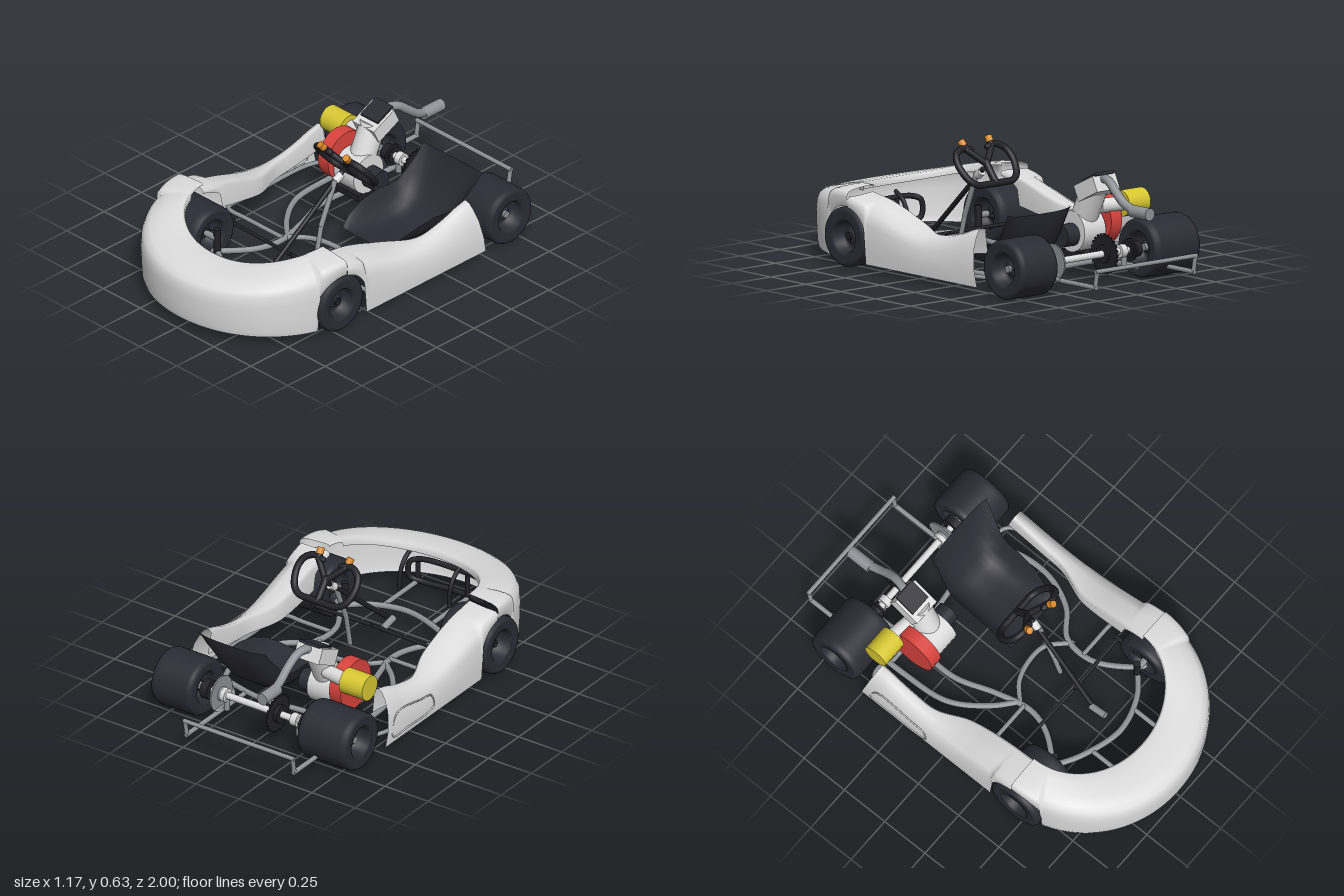
import * as THREE from 'three';

const mat = (name, color, side = THREE.FrontSide) => {
  const m = new THREE.MeshStandardMaterial({ color, side });
  m.name = name;
  return m;
};
const V = (x, y, z) => new THREE.Vector3(x, y, z);

// Smooth function through [key, value] pairs (keys ascending)
const smoothCurve = pairs => {
  const c = new THREE.CubicInterpolant(pairs.map(p => p[0]), pairs.map(p => p[1]), 1);
  return k => c.evaluate(k)[0];
};

// Surface through rows of equal length
function loft(rows) {
  const n = rows[0].length, idx = [];
  for (let i = 0; i < rows.length - 1; i++)
    for (let j = 0; j < n - 1; j++) {
      const a = i * n + j, b = a + n;
      idx.push(a, b, a + 1, b, b + 1, a + 1);
    }
  const g = new THREE.BufferGeometry().setFromPoints(rows.flat());
  g.setIndex(idx);
  g.computeVertexNormals();
  return g;
}

export function createModel() {
  const root = new THREE.Group();
  root.name = 'goKart';
  const white = mat('whiteBodywork', 0xdcdcdc, THREE.DoubleSide);
  const grey = mat('greyMetal', 0x8e9196);
  const dark = mat('darkRubber', 0x2b2b35, THREE.DoubleSide);
  const black = mat('blackParts', 0x202026);
  const red = mat('redCover', 0xd9433d);
  const yellow = mat('yellowFilter', 0xd8c832);
  const orange = mat('orangeGrips', 0xdc8a28);

  const add = (name, geo, m, pos = [0, 0, 0], parent = root) => {
    const mesh = new THREE.Mesh(geo, m);
    mesh.name = name;
    mesh.position.set(...pos);
    parent.add(mesh);
    return mesh;
  };
  const tube = (name, pts, r, m = grey, closed = false) => {
    const c = new THREE.CatmullRomCurve3(pts.map(p => V(...p)), closed, 'centripetal');
    const mesh = add(name, new THREE.TubeGeometry(c, pts.length * 8, r, 10, closed), m);
    if (!closed) for (const end of [pts[0], pts[pts.length - 1]])
      add(name + 'End', new THREE.SphereGeometry(r, 10, 6), m, end);
    return mesh;
  };
  // Straight rod between two points
  const rod = (name, a, b, r, m = grey) => {
    const p = V(...a), q = V(...b);
    const mesh = add(name, new THREE.CylinderGeometry(r, r, p.distanceTo(q), 24), m, p.clone().add(q).multiplyScalar(0.5).toArray());
    mesh.quaternion.setFromUnitVectors(V(0, 1, 0), q.sub(p).normalize());
    return mesh;
  };

  // Clearance of the bodywork over the front wheels
  const arch = z => {
    const d = 0.155 ** 2 - (z - 0.455) ** 2;
    return d > 0 ? 0.145 + Math.sqrt(d) : 0.04;
  };

  // Front fairing: open shell swept around the nose
  const section = [[0.06, 0], [0.03, 0.08], [0.01, 0.3], [0, 0.55], [0.02, 0.72], [0.08, 0.82],
    [0.2, 0.89], [0.45, 0.945], [0.75, 0.985], [0.95, 1], [1, 0.98], [1, 0.88]];
  const noseRows = [];
  for (let i = 0; i <= 140; i++) {
    const a = (i / 70 - 1) * Math.PI / 2, s = Math.sin(a), c = Math.max(Math.cos(a), 0);
    const so = Math.sign(s) * Math.abs(s) ** 0.97, co = c ** 0.97;
    const zo = 0.43 + 0.56 * co;
    const bottom = zo > 0.597 ? 0.042 + 0.014 * c : Math.min(arch(zo), 0.31);
    const top = 0.325 + 0.065 * Math.abs(s) ** 2.4;
    noseRows.push(section.map(([f, t]) => V(
      THREE.MathUtils.lerp(0.578 * so, 0.405 * s, f),
      bottom + t * (top - bottom),
      0.43 + THREE.MathUtils.lerp(0.568 * co, 0.33 * c, f))));
  }
  add('frontFairing', loft(noseRows), white);

  // Side pods
  const podTop = smoothCurve([[-0.45, 0.312], [-0.38, 0.295], [-0.3, 0.267], [-0.2, 0.242], [-0.1, 0.234],
    [0, 0.247], [0.1, 0.274], [0.2, 0.307], [0.3, 0.335], [0.44, 0.358]]);
  const podInner = smoothCurve([[-0.45, 0.475], [-0.25, 0.474], [-0.13, 0.468], [0.03, 0.41], [0.12, 0.4], [0.44, 0.4]]);
  const podShoulder = smoothCurve([[-0.45, 0.537], [0, 0.55], [0.44, 0.565]]);
  for (const side of [-1, 1]) {
    const tag = side > 0 ? 'left' : 'right', rows = [];
    for (let i = 0; i <= 60; i++) {
      const z = 0.43 - 0.875 * i / 60;
      const top = podTop(z), xi = podInner(z), xt = podShoulder(z), xo = 0.575;
      const b = z > 0.3 ? Math.min(arch(z), top - 0.04) : 0.04;
      const prof = [[xo, b], [xo + 0.004, b + (top - b) * 0.3], [(xo + xt) / 2 + 0.008, b + (top - b) * 0.65],
        [xt, b + (top - b) * 0.86], [xt * 0.65 + xi * 0.35, top - 0.008], [xi + 0.015, top],
        [xi, top - 0.012], [xi + 0.004, top - (top - b) * 0.45]];
      const lean = THREE.MathUtils.smoothstep(-z, 0.2, 0.445);
      rows.push(prof.map(([x, h]) => V(side * x, h, z - lean * 0.2 * (0.31 - h))));
    }
    add(tag + 'SidePod', loft(rows), white);
    tube(tag + 'PodSupport', [[side * 0.34, 0.08, -0.49], [side * 0.48, 0.08, -0.5], [side * 0.53, 0.08, -0.42],
      [side * 0.53, 0.08, 0], [side * 0.53, 0.08, 0.13], [side * 0.5, 0.08, side > 0 ? 0.2 : 0.15],
      [side * 0.4, 0.08, side > 0 ? 0.2 : 0.15], [side * (side > 0 ? 0.24 : 0.15), 0.08, side > 0 ? 0.2 : 0.15]], 0.011);
  }
  // Raised panel edge on the engine-side pod
  tube('podPanelEdge', [[-0.577, 0.075, -0.44], [-0.579, 0.07, -0.3], [-0.579, 0.07, -0.15], [-0.579, 0.09, -0.1],
    [-0.576, 0.15, -0.12], [-0.575, 0.165, -0.2], [-0.572, 0.18, -0.4]], 0.004, white, true);

  // Wheels: one lathe each, with a dished rim
  const wheel = (name, x, z, w, hub) => {
    const half = [[0.001, 0.3], [0.03, 0.3], [0.035, 0.22], [0.068, 0.22], [0.076, 0.44], [0.084, 0.49], [0.092, 0.475],
      [0.122, 0.5], [0.136, 0.485], [0.143, 0.44], [0.145, 0.36]];
    const pts = [...half.map(([r, h]) => new THREE.Vector2(r, -h * w)),
      ...half.slice().reverse().map(([r, h]) => new THREE.Vector2(r, h * w))];
    add(name, new THREE.LatheGeometry(pts, 40), dark, [x, 0.15, z]).rotation.z = Math.PI / 2;
    rod(name + 'Hub', [x - 0.36 * w, 0.15, z], [x + 0.36 * w, 0.15, z], 0.018, hub);
  };
  wheel('frontLeftWheel', 0.468, 0.46, 0.215, black);
  wheel('frontRightWheel', -0.445, 0.455, 0.285, black);
  wheel('rearLeftWheel', 0.453, -0.675, 0.235, grey);
  wheel('rearRightWheel', -0.425, -0.68, 0.285, grey);

  // Rear axle, sprocket and brake disc
  const onAxle = (name, x0, x1, r, m) => rod(name, [x0, 0.15, -0.68], [x1, 0.15, -0.68], r, m);
  onAxle('rearAxle', -0.3, 0.36, 0.017, white);
  onAxle('rightWheelHub', -0.285, -0.225, 0.04, black);
  onAxle('rightHubFlange', -0.24, -0.23, 0.055, black);
  onAxle('leftWheelHub', 0.305, 0.345, 0.05, black);
  onAxle('rightBearing', -0.2, -0.165, 0.032, white);
  onAxle('leftBearing', 0.215, 0.235, 0.035, white);
  onAxle('brakeDisc', 0.25, 0.258, 0.09, grey);
  onAxle('discCarrier', 0.235, 0.28, 0.035, grey);
  onAxle('sprocket', -0.08, -0.073, 0.09, black);
  onAxle('sprocketCarrier', -0.1, -0.06, 0.045, black);
  for (let i = 0; i < 24; i++) {
    const a = i / 24 * Math.PI * 2;
    add('sprocketTooth', new THREE.BoxGeometry(0.006, 0.012, 0.012), black,
      [-0.0765, 0.15 + 0.092 * Math.cos(a), -0.68 + 0.092 * Math.sin(a)]).rotation.x = a;
  }

  // Chassis tubes
  const y = 0.072, flat = pts => pts.map(([x, z]) => [x, y, z]);
  tube('rightRail', flat([[-0.245, -0.72], [-0.24, -0.45], [-0.245, -0.2], [-0.18, 0], [-0.14, 0.18], [-0.17, 0.3], [-0.26, 0.42], [-0.3, 0.46]]), 0.015);
  tube('rightOuterRail', flat([[-0.38, -0.72], [-0.385, -0.4], [-0.36, -0.15], [-0.25, 0.02], [-0.14, 0.12]]), 0.015);
  tube('leftRail', flat([[0.25, -0.72], [0.28, -0.55], [0.41, -0.42], [0.44, -0.2], [0.37, -0.02], [0.25, 0.09], [0.24, 0.25], [0.34, 0.42], [0.38, 0.46]]), 0.015);
  tube('frontCrossTube', flat([[-0.3, 0.44], [-0.16, 0.52], [0.06, 0.58], [0.24, 0.53], [0.36, 0.43]]), 0.015);
  tube('middleCrossTube', flat([[-0.14, 0.12], [-0.06, 0.05], [0.05, 0.02], [0.15, 0.03], [0.25, 0.12]]), 0.013);
  tube('rearCrossTube', flat([[-0.38, -0.48], [-0.1, -0.48], [0.15, -0.5], [0.4, -0.45]]), 0.014);
  for (const x of [-0.2, 0.22]) rod('axleCarrier', [x, y, -0.68], [x, 0.15, -0.68], 0.015);

  // Rear bumper
  for (const x of [-0.38, 0.245]) {
    rod('bumperArm', [x, 0.066, -0.5], [x, 0.066, -0.985], 0.012);
    rod('bumperPost', [x, 0.06, -0.975], [x, 0.145, -0.99], 0.011);
  }
  rod('rearBumper', [-0.39, 0.145, -0.988], [0.255, 0.145, -0.988], 0.011);

  // Nose bumper and pedals hidden inside the fairing
  tube('noseLoop', [[-0.24, 0.1, 0.82], [-0.2, 0.08, 0.84], [-0.04, 0.08, 0.86], [0.16, 0.08, 0.84], [0.21, 0.1, 0.82],
    [0.21, 0.18, 0.82], [0.16, 0.2, 0.84], [-0.04, 0.2, 0.86], [-0.2, 0.2, 0.84], [-0.24, 0.18, 0.82]], 0.014, black, true);
  for (const x of [-0.11, 0.18]) {
    rod('noseArm', [x, y, 0.55], [x, y, 0.84], 0.012);
    rod('nosePost', [x, 0.07, 0.845], [x, 0.2, 0.845], 0.012, black);
    tube('pedal', [[x + 0.03, y, 0.735], [x + 0.03, 0.16, 0.745], [x + 0.03, 0.21, 0.775], [x + 0.03, 0.24, 0.82]], 0.011, black);
  }

  // Steering linkage and spindles
  rod('rightTieRod', [-0.36, 0.13, 0.28], [0.05, 0.13, 0.29], 0.009, black);
  rod('leftTieRod', [0.06, 0.13, 0.29], [0.4, 0.13, 0.285], 0.009, black);
  for (const [x, xi] of [[-0.35, -0.28], [0.39, 0.33]]) {
    rod('steeringArm', [x, 0.13, 0.27], [x, 0.14, 0.44], 0.012, black);
    rod('spindle', [xi, 0.15, 0.46], [x, 0.15, 0.46], 0.016);
    rod('kingpin', [xi, 0.06, 0.455], [xi, 0.2, 0.455], 0.017, black);
  }
  rod('steeringColumn', [0.1, 0.49, -0.01], [0.055, 0.13, 0.4], 0.012, black);
  rod('columnSupport', [0.1, 0.46, 0.04], [0.095, 0.24, 0.13], 0.013);
  rod('columnStrut', [0.095, 0.24, 0.13], [0.1, y, 0.17], 0.012);
  rod('columnBoss', [0.1, 0.475, 0.0], [0.095, 0.45, 0.035], 0.02, white);
  rod('columnFoot', [0.065, 0.06, 0.39], [0.065, 0.08, 0.48], 0.017);

  // Steering wheel lying on a tilted plane
  const onWheel = ([x, h]) => [0.1 + x, h, (h - 0.52) * 0.8 - 0.03];
  const rim = [[0.055, 0.585], [0.11, 0.592], [0.155, 0.57], [0.172, 0.525], [0.15, 0.46], [0.11, 0.435], [0.05, 0.432]];
  tube('steeringRim', [...rim, ...rim.slice().reverse().map(([x, h]) => [-x, h])].map(onWheel), 0.017, black);
  rod('rimBottom', onWheel([-0.06, 0.432]), onWheel([0.06, 0.432]), 0.017, black);
  for (const s of [-1, 1]) {
    rod('steeringSpoke', onWheel([0, 0.515]), onWheel([s * 0.085, 0.59]), 0.016, black);
    rod('gripStem', onWheel([s * 0.075, 0.58]), onWheel([s * 0.085, 0.61]), 0.017, black);
    rod('gripTip', onWheel([s * 0.083, 0.602]), onWheel([s * 0.088, 0.626]), 0.018, orange);
  }
  rod('steeringHub', onWheel([0, 0.43]), onWheel([0, 0.53]), 0.018, black);

  // Bucket seat: rows of [z, y, xMin, xMax, side lip rise, side lip forward]
  const seatRows = [[-0.075, 0.11, 0.03, 0.345, 0.01, 0], [-0.13, 0.1, 0.02, 0.36, 0.06, 0], [-0.22, 0.09, 0.015, 0.385, 0.11, 0],
    [-0.33, 0.08, 0.015, 0.395, 0.14, 0], [-0.43, 0.095, 0.02, 0.4, 0.12, 0.02], [-0.49, 0.14, 0.025, 0.41, 0.08, 0.04],
    [-0.545, 0.22, 0.035, 0.425, 0.04, 0.05], [-0.59, 0.31, 0.05, 0.445, 0.01, 0.045], [-0.605, 0.375, 0.06, 0.46, 0.01, 0.015]];
  const seat = seatRows.map(([z, h, x0, x1, up, fwd]) => Array.from({ length: 17 }, (_, j) => {
    const u = j / 8 - 1, e = Math.abs(u) ** 4;
    return V((x0 + x1) / 2 + u * (x1 - x0) / 2, h + up * e, z + fwd * e);
  }));
  add('seat', loft(seat), dark);

  // Engine: crankcase, barrel leaning back, head tipped towards the front
  rod('crankcase', [-0.25, 0.215, -0.395], [-0.115, 0.215, -0.395], 0.1, white);
  rod('barrel', [-0.18, 0.22, -0.39], [-0.18, 0.43, -0.49], 0.065, white);
  const head = new THREE.Group();
  head.name = 'cylinderHead';
  head.position.set(-0.18, 0.435, -0.508);
  head.rotation.x = 0.45;
  root.add(head);
  add('headBlock', new THREE.BoxGeometry(0.145, 0.08, 0.15), white, [0, 0, 0], head);
  add('headCover', new THREE.BoxGeometry(0.115, 0.014, 0.115), dark, [0, 0.044, -0.03], head);
  add('engineMount', new THREE.BoxGeometry(0.15, 0.03, 0.17), black, [-0.19, 0.105, -0.41]);
  rod('clutchCover', [-0.33, 0.257, -0.395], [-0.262, 0.257, -0.395], 0.126, red);
  rod('airFilter', [-0.48, 0.333, -0.493], [-0.345, 0.333, -0.493], 0.064, yellow);
  rod('carburettor', [-0.35, 0.335, -0.5], [-0.22, 0.335, -0.48], 0.035, white);
  rod('starter', [-0.12, 0.2, -0.405], [-0.04, 0.2, -0.405], 0.055, dark);

  // Exhaust
  tube('exhaustPipe', [[-0.175, 0.45, -0.53], [-0.17, 0.485, -0.575], [-0.155, 0.478, -0.63], [-0.145, 0.435, -0.69],
    [-0.145, 0.39, -0.75], [-0.153, 0.363, -0.82]], 0.022);
  rod('muffler', [-0.153, 0.363, -0.795], [-0.153, 0.363, -0.92], 0.03);

  return root;
}
